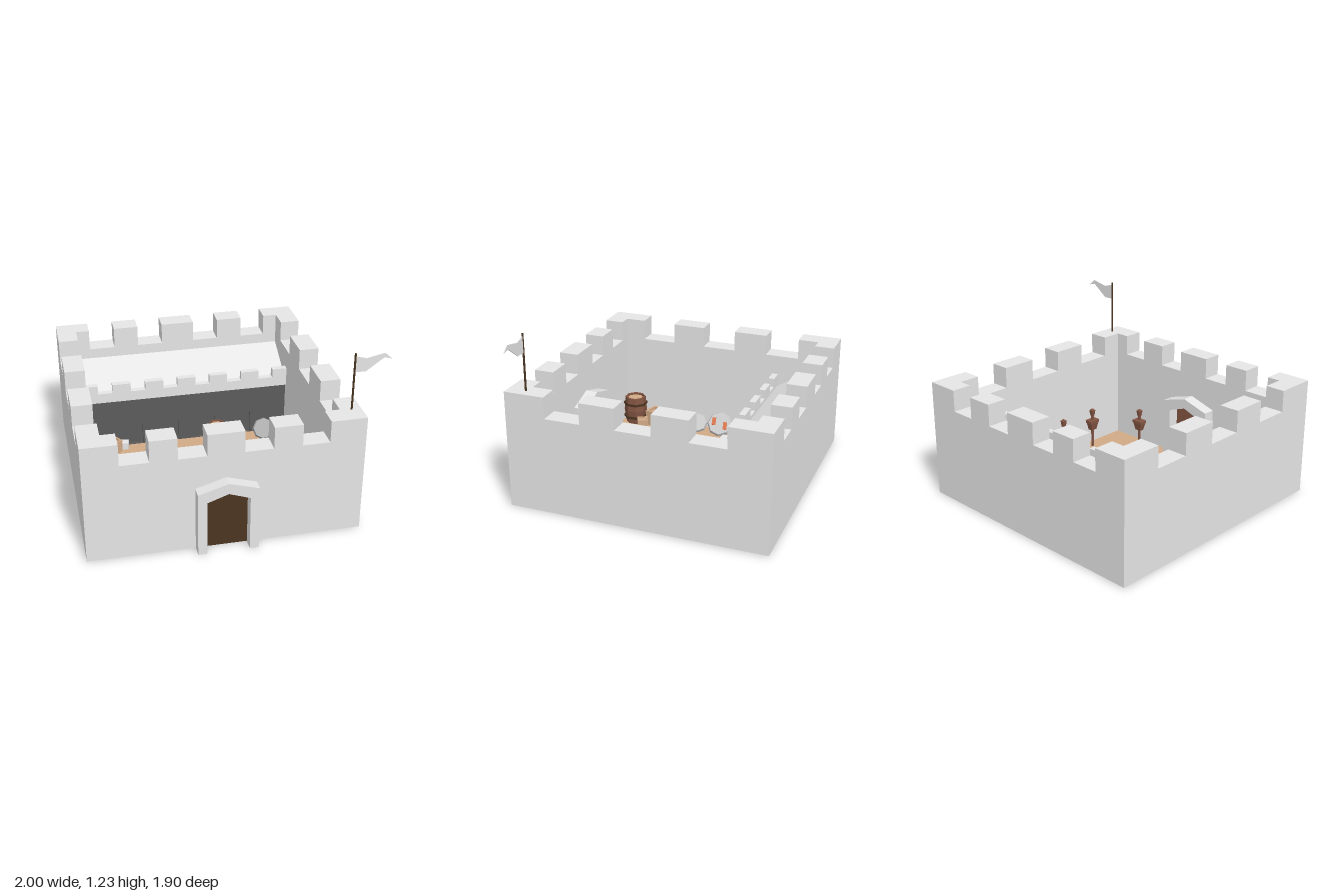
import * as THREE from 'three';

const mat = (name, color) => {
  const m = new THREE.MeshStandardMaterial({ color, flatShading: true, side: THREE.DoubleSide });
  m.name = name;
  return m;
};

export function createModel() {
  const stone = mat('pale stone', 0xe5e5e5);
  const darkStone = mat('dark stone', 0x5c5c5c);
  const sand = mat('sand', 0xd1aa87);
  const darkWood = mat('dark wood', 0x4b3520);
  const redWood = mat('red wood', 0x835543);
  const steel = mat('steel', 0xcccccc);
  const iron = mat('iron', 0xb0b0b0);
  const rust = mat('rust', 0xd97850);

  const root = new THREE.Group();
  root.name = 'courtyardFort';

  const add = (name, geo, material, x = 0, y = 0, z = 0, parent = root) => {
    const m = new THREE.Mesh(geo, material);
    m.name = name;
    m.position.set(x, y, z);
    parent.add(m);
    return m;
  };
  const group = (name, x, y, z, ry = 0) => {
    const g = new THREE.Group();
    g.name = name;
    g.position.set(x, y, z);
    g.rotation.y = ry;
    root.add(g);
    return g;
  };
  const box = (w, h, d) => new THREE.BoxGeometry(w, h, d);
  const poly = (pts) => new THREE.Shape(pts.map((p) => new THREE.Vector2(p[0], p[1])));
  const extrude = (shape, depth) => new THREE.ExtrudeGeometry(shape, { depth, bevelEnabled: false });

  // Strip with battlement notches along its top
  const battlement = (a, b, bottom, low, high, gaps) => {
    const pts = [[a, bottom], [a, high]];
    for (const [g0, g1] of gaps) pts.push([g0, high], [g0, low], [g1, low], [g1, high]);
    pts.push([b, high], [b, bottom]);
    return poly(pts);
  };

  // Battlements: solid upper part of the walls
  const endTop = extrude(battlement(-1, 0.82, 0.6, 0.685, 0.835,
    [[-0.765, -0.578], [-0.4, -0.215], [0.026, 0.213], [0.4, 0.58]]), 0.14);
  add('frontBattlement', endTop, stone, 0, 0, 0.73);
  add('backBattlement', endTop, stone, 0, 0, -0.95);
  const sideTop = extrude(battlement(-0.73, 0.81, 0.6, 0.685, 0.835,
    [[-0.583, -0.332], [-0.087, 0.163], [0.413, 0.663]]), 0.14).rotateY(Math.PI / 2);
  add('leftBattlement', sideTop, stone, 0.68);
  add('rightBattlement', sideTop, stone, -1);

  // Hollow lower walls: outer and inner skins, open underneath
  const endSkin = new THREE.PlaneGeometry(1.82, 0.6);
  add('frontOuterWall', endSkin, stone, -0.09, 0.3, 0.87);
  add('backOuterWall', endSkin.clone().rotateY(Math.PI), stone, -0.09, 0.3, -0.95);
  const sideSkin = new THREE.PlaneGeometry(1.82, 0.6).rotateY(Math.PI / 2);
  add('leftOuterWall', sideSkin, stone, 0.82, 0.3, -0.04);
  add('rightOuterWall', sideSkin.clone().rotateY(Math.PI), stone, -1, 0.3, -0.04);
  add('frontInnerWall', new THREE.PlaneGeometry(1.54, 0.6).rotateY(Math.PI), stone, -0.09, 0.3, 0.73);
  const sideInner = new THREE.ShapeGeometry(poly([[-0.73, 0], [0.49, 0], [0.49, 0.43], [0.81, 0.6],
    [-0.73, 0.6]])).rotateY(Math.PI / 2);
  add('leftInnerWall', sideInner, stone, 0.68);
  add('rightInnerWall', sideInner, stone, -0.86);

  // Courtyard floor
  add('floor', box(1.54, 0.004, 1.22), sand, -0.09, 0.006, 0.12);

  // Gate: pointed surround and door on both sides of the wall
  const gate = (bottom) => poly([[-0.2, bottom], [-0.2, 0.455], [0, 0.515], [0.2, 0.455], [0.2, bottom],
    [0.14, bottom], [0.14, 0.39], [0, 0.44], [-0.14, 0.39], [-0.14, bottom]]);
  add('outerGateSurround', extrude(gate(0), 0.08), stone, -0.093, 0, 0.87);
  add('innerGateSurround', extrude(gate(0.008), 0.09), stone, -0.093, 0, 0.64);
  const topAt = (x) => 0.44 - Math.abs(x) * 0.357;
  for (let i = 0; i < 4; i++) {
    const a = -0.14 + i * 0.07, b = a + 0.07;
    const plank = extrude(poly([[a, 0.004], [b, 0.004], [b, topAt(b)], [a, topAt(a)]]), 0.008);
    add('outerDoorPlank', plank, darkWood, -0.093, 0, 0.866);
    add('innerDoorPlank', plank, redWood, -0.093, 0, 0.724);
  }

  // Covered gallery along the back, with four pointed niches
  const galleryWall = poly([[-0.86, 0], [0.68, 0], [0.68, 0.45], [-0.86, 0.45]]);
  for (let i = 0; i < 4; i++) {
    const x = 0.335 - i * 0.278;
    const arch = [[x - 0.07, 0.01], [x + 0.07, 0.01], [x + 0.07, 0.18], [x + 0.035, 0.215],
      [x, 0.228], [x - 0.035, 0.215], [x - 0.07, 0.18]];
    galleryWall.holes.push(new THREE.Path(arch.map((p) => new THREE.Vector2(p[0], p[1]))));
    add('niche', extrude(poly(arch), 0.025), darkStone, 0, 0, -0.535);
  }
  add('galleryWall', extrude(galleryWall, 0.02), darkStone, 0, 0, -0.51);
  const gaps = [];
  for (let i = 0; i < 6; i++) gaps.push([-0.753 + i * 0.243, -0.645 + i * 0.243]);
  add('galleryParapet', extrude(battlement(-0.86, 0.68, 0.4, 0.475, 0.54, gaps), 0.045), stone, 0, 0, -0.515);
  add('galleryRoof', extrude(poly([[0.81, 0.61], [0.5, 0.44], [0.5, 0.42], [0.81, 0.59]]), 1.54)
    .rotateY(Math.PI / 2), stone, -0.86);

  // Flag and pole
  add('flagPole', new THREE.CylinderGeometry(0.007, 0.007, 0.4, 8), darkWood, 0.755, 1.03, 0.742);
  add('flag', extrude(poly([[0.76, 1.21], [0.83, 1.19], [0.95, 1.215], [0.998, 1.172],
    [0.945, 1.185], [0.83, 1.1], [0.76, 1.1]]), 0.006), stone, 0, 0, 0.739);

  // Training dummies
  for (const [x, z, ry] of [[0.607, 0.065, -Math.PI / 2], [0.607, 0.37, -Math.PI / 2], [0.338, 0.618, Math.PI]]) {
    const g = group('trainingDummy', x, 0.008, z, ry);
    add('post', box(0.015, 0.26, 0.015), redWood, 0, 0.13, 0, g);
    const torso = new THREE.CylinderGeometry(0.056, 0.035, 0.065, 4).rotateY(Math.PI / 4).scale(1, 1, 0.72);
    add('torso', torso, redWood, 0, 0.175, 0, g);
    add('shoulders', box(0.088, 0.022, 0.06), redWood, 0, 0.212, 0, g);
    const head = new THREE.CylinderGeometry(0.024, 0.016, 0.045, 4).rotateY(Math.PI / 4);
    add('head', head, redWood, 0, 0.28, 0, g);
    add('crown', new THREE.ConeGeometry(0.024, 0.015, 4).rotateY(Math.PI / 4), redWood, 0, 0.31, 0, g);
  }

  // Barrels
  for (const [x, z, r] of [[0.125, -0.395, 0.07], [0.25, -0.345, 0.055], [-0.77, 0.63, 0.094]]) {
    const g = group('barrel', x, 0.008, z, Math.PI / 8);
    const h = r * 2.3;
    const profile = [[0.78, 0], [0.96, 0.5], [0.86, 1], [0.7, 1], [0.7, 0.92]];
    add('staves', new THREE.LatheGeometry(profile.map((p) => new THREE.Vector2(p[0] * r, p[1] * h)), 8),
      redWood, 0, 0, 0, g);
    add('lid', new THREE.CylinderGeometry(r * 0.7, r * 0.7, 0.006, 8), sand, 0, h * 0.92, 0, g);
    for (const t of [0.25, 0.75]) {
      add('hoop', new THREE.CylinderGeometry(r, r, h * 0.08, 8), darkWood, 0, h * t, 0, g);
    }
  }

  // Crates with a raised rim
  for (const [x, z, s, ry] of [[-0.665, -0.42, 0.095, 0.6], [0.275, -0.45, 0.075, 0.4],
    [-0.775, 0.455, 0.12, -0.25], [-0.66, 0.525, 0.08, 0.45]]) {
    const g = group('crate', x, 0.008, z, ry);
    add('crateBody', box(s * 0.98, s * 0.85, s * 0.98), sand, 0, s * 0.425, 0, g);
    for (const k of [-1, 1]) {
      add('rim', box(s, s * 0.16, s * 0.14), sand, 0, s * 0.92, k * s * 0.43, g);
      add('rim', box(s * 0.14, s * 0.16, s * 0.72), sand, k * s * 0.43, s * 0.92, 0, g);
    }
  }

  // Loose stone blocks
  for (const [x, z, ry, s] of [[-0.575, -0.45, -0.2, 0.055], [0.222, -0.445, 0.6, 0.065]]) {
    add('stoneBlock', box(s, s, s), stone, x, 0.008 + s / 2, z).rotation.y = ry;
  }

  // Shields leaning against the walls: x, z, facing angle, radius, material, painted
  for (const [x, z, ry, r, m, painted] of [
    [-0.743, -0.287, 1.35, 0.085, iron, false],
    [-0.77, -0.085, 1.7, 0.1, steel, true],
    [-0.772, 0.1, 1.85, 0.08, steel, false],
    [0.49, -0.39, -0.25, 0.085, iron, false],
    [0.6, -0.23, -1.3, 0.1, steel, true]]) {
    const g = group('leaningShield', x, 0.008 + r * 0.85, z, ry);
    const face = new THREE.Group();
    face.name = 'shieldFace';
    face.rotation.x = Math.PI / 2 - 0.6;
    g.add(face);
    add('shieldDisc', new THREE.CylinderGeometry(r * 0.88, r, 0.025, 8), m, 0, 0, 0, face);
    if (painted) {
      for (const k of [-1, 1]) {
        add('shieldMark', box(0.03, 0.004, 0.06), rust, k * 0.045, 0.0145, k * 0.015, face);
      }
    }
  }
  return root;
}
